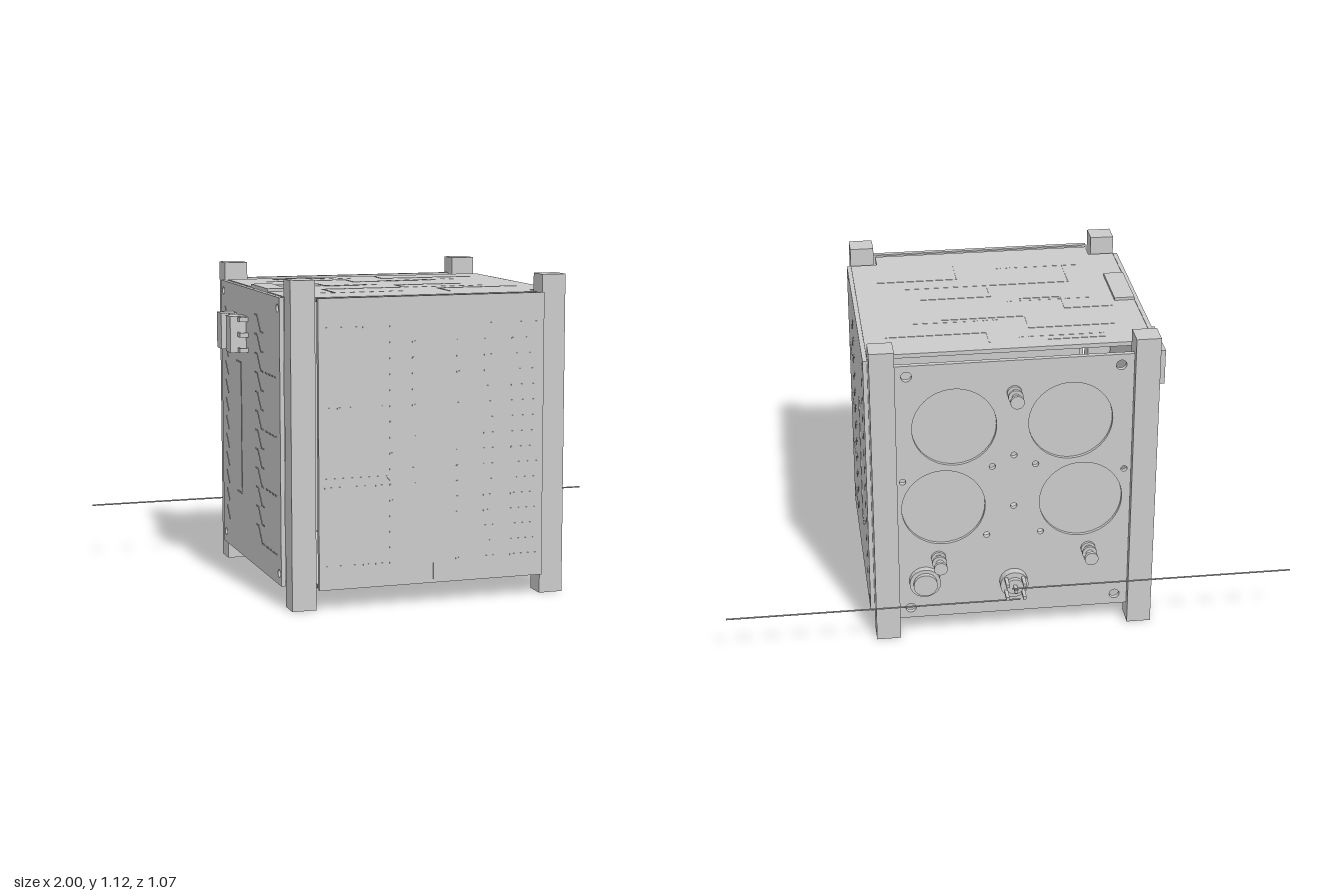
import * as THREE from 'three';
import { mergeGeometries } from 'three/addons/utils/BufferGeometryUtils.js';

const mat = new THREE.MeshStandardMaterial({ color: 0xcccccc, side: THREE.DoubleSide });

export function createModel() {
  const model = new THREE.Group();
  const add = (name, geo, parent = model) => {
    const m = new THREE.Mesh(geo, mat);
    m.name = name;
    parent.add(m);
    return m;
  };
  // Box given by its limits on each axis
  const boxGeo = (x0, x1, y0, y1, z0, z1) =>
    new THREE.BoxGeometry(x1 - x0, y1 - y0, z1 - z0)
      .translate((x0 + x1) / 2, (y0 + y1) / 2, (z0 + z1) / 2);
  const box = (name, ...b) => add(name, boxGeo(...b));
  // Flat plate from outline corners and round holes [x, y, radius]
  const plateGeo = (pts, holes, depth) => {
    const s = new THREE.Shape(pts.map(([x, y]) => new THREE.Vector2(x, y)));
    for (const [x, y, r] of holes) s.holes.push(new THREE.Path().absarc(x, y, r, 0, Math.PI * 2, true));
    return new THREE.ExtrudeGeometry(s, { depth, bevelEnabled: false, curveSegments: 24 });
  };
  const rect = (x0, x1, y0, y1) => [[x0, y0], [x1, y0], [x1, y1], [x0, y1]];
  // Raised thin strips along polylines, drawn in a local x-y plane facing +z
  const traceGeo = (lines, width = 0.005) => {
    const parts = [];
    for (const line of lines) {
      for (let i = 1; i < line.length; i++) {
        const [ax, ay] = line[i - 1], [bx, by] = line[i];
        parts.push(new THREE.BoxGeometry(Math.hypot(bx - ax, by - ay), width, 0.003)
          .rotateZ(Math.atan2(by - ay, bx - ax)).translate((ax + bx) / 2, (ay + by) / 2, 0));
      }
    }
    return mergeGeometries(parts);
  };

  // Four corner rails
  for (const [x0, x1] of [[-0.51, -0.425], [0.39, 0.475]])
    for (const [z0, z1] of [[-0.47, -0.385], [0.435, 0.515]]) box('cornerRail', x0, x1, 0, 1.12, z0, z1);

  // Front panel: outer board and inner backing
  box('frontPanel', -0.42, 0.39, 0.07, 1.06, 0.515, 0.533);
  box('frontBacking', -0.405, 0.375, 0.075, 1.055, 0.495, 0.515);
  const frontLines = [[[-0.01, 0.075], [-0.01, 0.14]], [[-0.01, 0.99], [-0.01, 1.055]],
    [[-0.4, 0.45], [-0.18, 0.45], [-0.14, 0.41]]];
  for (let i = 0; i < 16; i++) {
    const y = 0.15 + i * 0.054;
    frontLines.push([[0.17, y], [0.21, y]], [[0.27, y], [0.37, y]]);
    for (const x of [-0.17, -0.09, 0.07]) frontLines.push([[x, y], [x + 0.012, y]]);
    if (i % 5 === 0) for (let k = 0; k < 5; k++)
      frontLines.push([[-0.4 + k * 0.045, y], [-0.375 + k * 0.045, y]]);
  }
  add('frontTraces', traceGeo(frontLines)).position.z = 0.533;

  // Side panels with corner screw holes and slanted traces
  const sideHoles = [];
  for (const z of [-0.355, 0.4]) for (const y of [0.11, 1.02]) sideHoles.push([z, y, 0.014]);
  const sideLines = [[[-0.1, 0.3], [-0.1, 0.78], [-0.17, 0.78]], [[-0.1, 0.3], [-0.17, 0.3]]];
  for (let i = 0; i < 12; i++) {
    const y = 0.17 + i * 0.068;
    sideLines.push([[0.21, y], [0.18, y], [0.13, y + 0.055], [0.1, y + 0.055]]);
    sideLines.push([[-0.29, y], [-0.33, y + 0.045]]);
    if (i % 3 === 0) for (let k = 0; k < 4; k++)
      sideLines.push([[0.24 + k * 0.04, y], [0.262 + k * 0.04, y]]);
  }
  for (const [name, x, face] of [['leftPanel', 0.475, 0.491], ['rightPanel', -0.524, -0.524]]) {
    const sidePlate = plateGeo(rect(-0.388, 0.428, 0.07, 1.057), sideHoles, 0.015);
    // local x becomes z, depth becomes x
    sidePlate.applyMatrix4(new THREE.Matrix4().set(0, 0, 1, x, 0, 1, 0, 0, 1, 0, 0, 0, 0, 0, 0, 1));
    add(name, sidePlate);
    const t = add(name + 'Traces', traceGeo(sideLines).rotateY(-Math.PI / 2));
    t.position.x = face;
  }

  // Top and bottom panels, notched around the front rails
  const outline = [[-0.507, -0.355], [0.475, -0.355], [0.475, 0.42], [0.38, 0.42],
    [0.38, 0.495], [-0.415, 0.495], [-0.415, 0.42], [-0.507, 0.42]];
  const deckLines = [
    [[-0.4, -0.2], [-0.1, -0.2], [-0.1, -0.1], [0.2, -0.1]], [[-0.3, 0.33], [-0.3, 0.18], [0, 0.18], [0, 0.08], [0.25, 0.08]],
    [[-0.42, -0.05], [-0.25, -0.05], [-0.25, 0.05], [-0.1, 0.05]], [[0.1, 0.38], [0.1, 0.25], [0.4, 0.25]],
    [[0.05, -0.3], [0.05, -0.22], [0.4, -0.22]], [[-0.35, -0.3], [-0.15, -0.3]]];
  for (let row = 0; row < 5; row++) for (let k = 0; k < 9; k++) {
    const x = -0.35 + k * 0.035 + (row % 2) * 0.35, y = -0.27 + row * 0.15;
    deckLines.push([[x, y], [x + 0.016, y]]);
  }
  for (const [name, y, face] of [['topPanel', 1.06, 1.06], ['bottomPanel', 0.085, 0.07]]) {
    add(name, plateGeo(outline, [], 0.015).rotateX(Math.PI / 2)).position.y = y;
    add(name + 'Traces', traceGeo(deckLines).rotateX(Math.PI / 2)).position.y = face;
  }
  box('topCover', -0.507, -0.435, 1.06, 1.07, -0.01, 0.215);

  // Back plate with four round recesses and screw holes
  const screws = [];
  for (const x of [-0.38, 0.35]) for (const y of [0.11, 1.02]) screws.push([x, y, 0.018]);
  for (const [x, y] of [[-0.4, 0.62], [0.37, 0.62], [-0.015, 0.7], [-0.09, 0.66], [0.06, 0.66],
    [-0.11, 0.39], [0.08, 0.39], [-0.015, 0.5]]) screws.push([x, y, 0.011]);
  const windows = [[-0.21, 0.82], [0.19, 0.82], [-0.25, 0.51], [0.23, 0.51]].map(([x, y]) => [x, y, 0.145]);
  const backRect = rect(-0.424, 0.389, 0.07, 1.06);
  add('backPlate', plateGeo(backRect, [...screws, ...windows], 0.012)).position.z = -0.45;
  add('backPlateLiner', plateGeo(backRect, screws, 0.006)).position.z = -0.438;

  // Turned parts along -z, starting at the back plate
  const turned = (name, pts, x, y, z = -0.45) => {
    const g = new THREE.LatheGeometry(pts.map(([r, h]) => new THREE.Vector2(r, h)), 20).toNonIndexed();
    g.rotateX(-Math.PI / 2);
    g.computeVertexNormals();
    add(name, g).position.set(x, y, z);
  };
  const plug = [[0, 0], [0.026, 0], [0.026, 0.01], [0.016, 0.01], [0.016, 0.03], [0.026, 0.03],
    [0.026, 0.04], [0.014, 0.04], [0.014, 0.068], [0.024, 0.068], [0.024, 0.08], [0, 0.08]];
  const socket = [[0, 0], [0.046, 0], [0.046, 0.055], [0, 0.055]];
  for (const [x, y] of [[-0.015, 0.94], [0.25, 0.31], [-0.28, 0.31]]) {
    turned('backConnector', plug, x, y);
    turned('connectorSocket', socket, x, y, -0.377);
  }
  turned('roundPort', [[0, 0], [0.055, 0], [0.055, 0.022], [0.042, 0.022], [0.042, 0.038], [0, 0.038]], 0.3, 0.22);

  // Antenna mount: round base, prongs and two long wires
  turned('antennaSocket', socket, -0.015, 0.195, -0.377);
  turned('antennaBase', [[0, 0], [0.05, 0], [0.05, 0.03], [0.03, 0.03], [0.03, 0.045], [0, 0.045]], -0.015, 0.195);
  for (const [dx, y] of [[-0.03, 0.222], [0.03, 0.222], [-0.03, 0.17], [0.03, 0.17], [0, 0.197]])
    box('antennaProng', dx - 0.021, dx - 0.009, y - 0.006, y + 0.006, -0.531, -0.45);
  for (const [x0, x1, y] of [[-1, 0, 0.207], [-0.03, 1, 0.163]]) {
    const wire = new THREE.CylinderGeometry(0.0028, 0.0028, x1 - x0, 8).rotateZ(Math.PI / 2);
    add('antennaWire', wire).position.set((x0 + x1) / 2, y, -0.525);
  }

  // Pair of mirrored plug housings on the right side
  for (const s of [-1, 1]) {
    const span = (a, b) => [-0.122 + Math.min(s * a, s * b), -0.122 + Math.max(s * a, s * b)];
    box('plugHousing', -0.582, -0.524, 0.825, 0.955, ...span(0.035, 0.1));
    for (const y of [0.835, 0.89, 0.945]) {
      box('plugPin', -0.555, -0.535, y - 0.01, y + 0.01, ...span(0.022, 0.035));
      box('plugLeg', -0.555, -0.549, y - 0.008, y + 0.008, ...span(0.1, 0.13));
      box('plugFoot', -0.552, -0.524, y - 0.008, y + 0.008, ...span(0.124, 0.13));
    }
  }
  return model;
}
